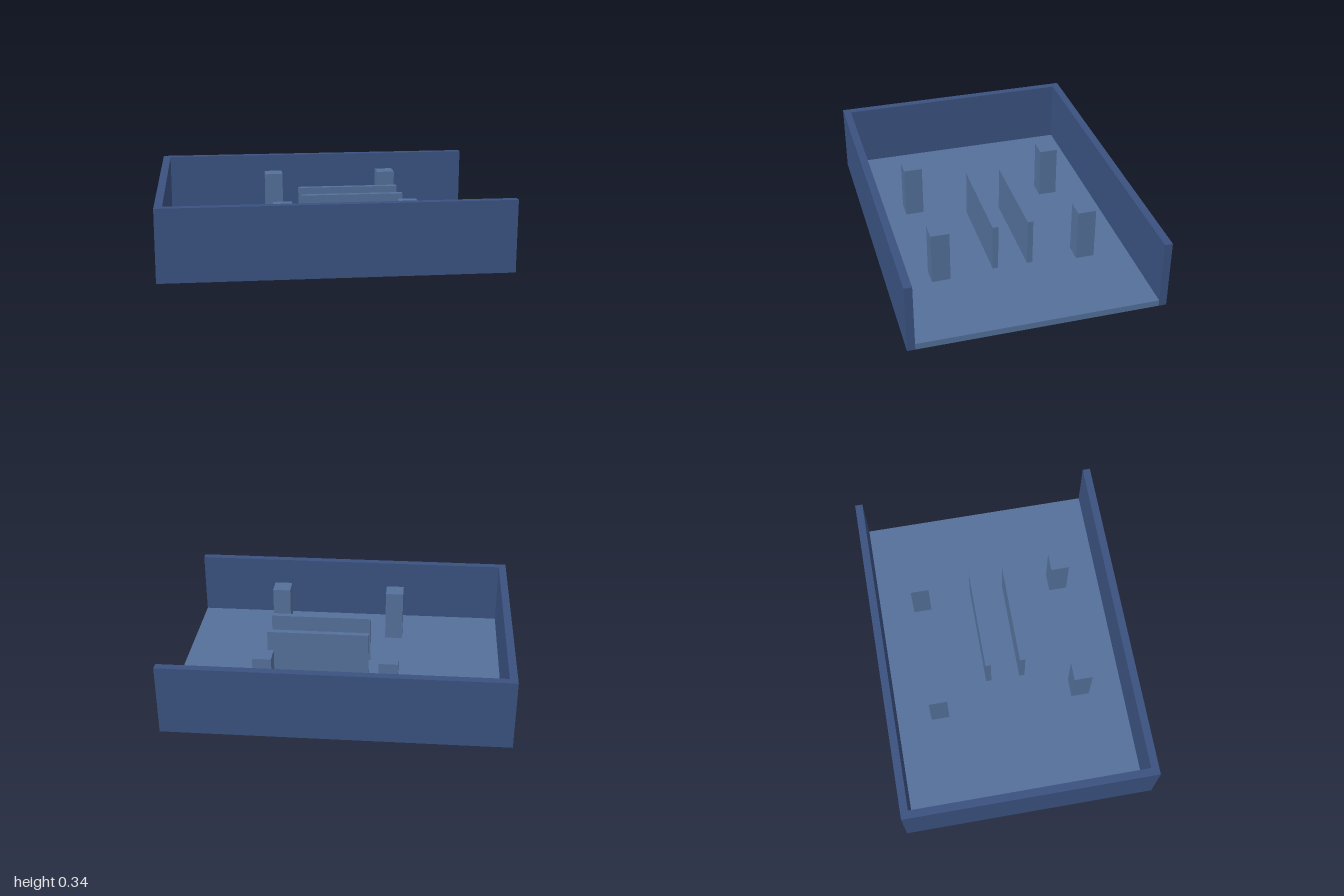
import * as THREE from 'three';

const L = 0.81, W = 0.605;          // half length and half width of the tray
const T = 0.037, H = 0.34, F = 0.031; // wall thickness, wall height, floor level

// Vertical band following a list of [x, z] points
function band(points, y0, y1) {
  const pos = [];
  for (let i = 0; i < points.length - 1; i++) {
    const [ax, az] = points[i], [bx, bz] = points[i + 1];
    pos.push(ax, y0, az, bx, y0, bz, bx, y1, bz, ax, y0, az, bx, y1, bz, ax, y1, az);
  }
  const g = new THREE.BufferGeometry();
  g.setAttribute('position', new THREE.Float32BufferAttribute(pos, 3));
  g.computeVertexNormals();
  return g;
}

// Flat upward-facing outline of [x, z] points at height y
function sheet(points, y) {
  const shape = new THREE.Shape(points.map(([x, z]) => new THREE.Vector2(x, -z)));
  return new THREE.ShapeGeometry(shape).rotateX(-Math.PI / 2).translate(0, y, 0);
}

export function createModel() {
  const wallMat = new THREE.MeshStandardMaterial({ color: 0x3a5280, side: THREE.DoubleSide });
  wallMat.name = 'dark blue';
  const floorMat = new THREE.MeshStandardMaterial({ color: 0x54709a, side: THREE.DoubleSide });
  floorMat.name = 'light blue';

  const tray = new THREE.Group();
  tray.name = 'tray';
  const add = (name, geometry, material) => {
    const mesh = new THREE.Mesh(geometry, material);
    mesh.name = name;
    tray.add(mesh);
    return mesh;
  };

  // Three-sided hollow wall, open underneath and at the +x end of the tray
  const w = W - T, e = -L + T;
  const outer = [[L, -W], [-L, -W], [-L, W], [L, W]];
  const inner = [[L, w], [e, w], [e, -w], [L, -w]];
  add('outerWall', band(outer, 0, H), wallMat);
  add('innerWall', band(inner, F, H), wallMat);
  add('wallRim', sheet([...outer, ...inner], H), wallMat);
  for (const [a, b] of [[W, w], [-w, -W]]) add('wallEnd', band([[L, a], [L, b]], 0, H), wallMat);

  // Floor with the lip along its open edge
  add('floor', sheet(inner, F), floorMat);
  add('floorLip', band([[L, w], [L, -w]], 0, F), floorMat);

  // Four square posts and two upright dividers between them
  const block = (name, x, z, sx, sz, top) =>
    add(name, new THREE.BoxGeometry(sx, top - F, sz), floorMat).position.set(x, (top + F) / 2, z);
  for (const side of [-1, 1]) {
    for (const x of [-0.232, 0.355]) block('post', x, side * 0.355, 0.089, 0.089, 0.288);
    block('divider', 0.125, side * 0.085, 0.497, 0.027, 0.265);
  }

  // The tray stands diagonally
  tray.rotation.y = Math.PI / 4;
  const model = new THREE.Group();
  model.name = 'openTray';
  model.add(tray);
  return model;
}
